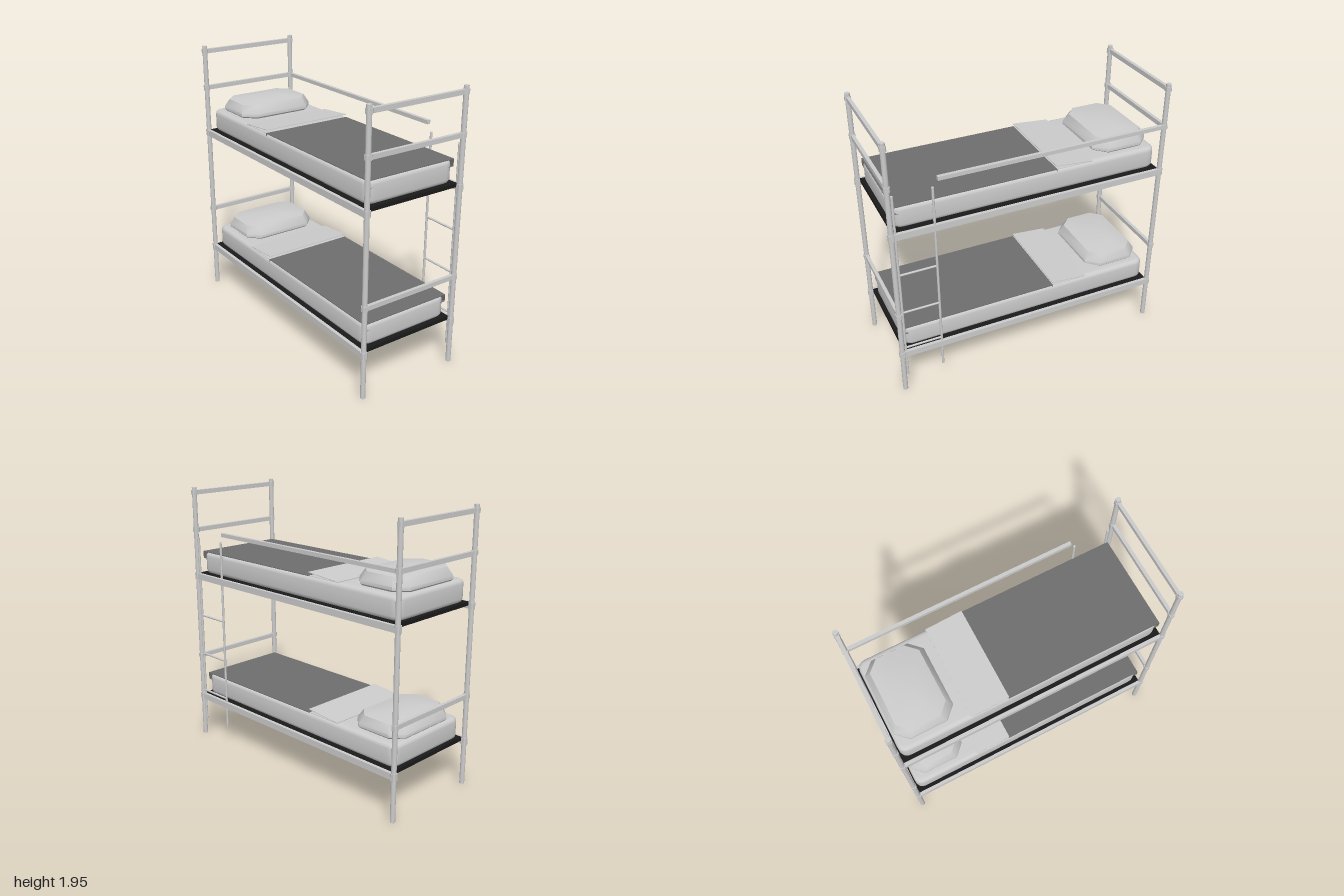
import * as THREE from 'three';
import { toCreasedNormals } from 'three/addons/utils/BufferGeometryUtils.js';

const mat = (color, side = THREE.FrontSide) =>
  new THREE.MeshStandardMaterial({ color, side });

const PX = 0.98, PZ = 0.374;          // post centres

export function createModel() {
  const root = new THREE.Group();
  root.name = 'bunkBed';
  const grey = mat(0xcccccc);
  const greyBoth = mat(0xcccccc, THREE.DoubleSide);
  const black = mat(0x1a1a1a);
  const wool = mat(0x6e6e6e, THREE.DoubleSide);
  const woolInside = mat(0x6e6e6e, THREE.BackSide);

  const add = (parent, name, geometry, material, x = 0, y = 0, z = 0) => {
    const mesh = new THREE.Mesh(geometry, material);
    mesh.name = name;
    mesh.position.set(x, y, z);
    parent.add(mesh);
    return mesh;
  };
  const box = (w, h, d) => new THREE.BoxGeometry(w, h, d);
  const rod = (r, h, n = 12) => new THREE.CylinderGeometry(r, r, h, n);

  // Posts with a collar at every joint
  for (const sx of [-1, 1]) for (const sz of [-1, 1]) {
    const post = new THREE.Group();
    post.name = 'post';
    post.position.set(sx * PX, 0, sz * PZ);
    add(post, 'postTube', rod(0.0175, 1.95, 16), grey, 0, 0.975, 0);
    for (const [y, h] of [[0.32, 0.048], [0.655, 0.036], [1.287, 0.048], [1.638, 0.034], [1.912, 0.034]])
      add(post, 'collar', toCreasedNormals(collar(0.02, h), 0.5), grey, 0, y, 0);
    root.add(post);
  }

  // Head and foot cross bars
  for (const sx of [-1, 1]) for (const y of [0.655, 1.638, 1.912])
    add(root, 'endBar', box(0.024, 0.032, 2 * PZ), grey, sx * PX, y, 0);

  // Guard rail along the back, open at the ladder
  add(root, 'guardRail', box(1.64, 0.027, 0.025), grey, -0.16, 1.638, -0.378);

  // Ladder at the back of the foot end
  const ladder = new THREE.Group();
  ladder.name = 'ladder';
  for (const x of [0.692, 0.953])
    add(ladder, 'ladderStile', rod(0.0085, 1.45), grey, x, 0.855, -PZ);
  for (const y of [0.37, 0.675, 0.983, 1.29])
    add(ladder, 'ladderRung', rod(0.0075, 0.26), grey, 0.8225, y, -PZ).rotation.z = Math.PI / 2;
  root.add(ladder);

  // Two identical bunks
  for (const y of [0.343, 1.309]) {
    const bunk = new THREE.Group();
    bunk.name = y < 1 ? 'lowerBunk' : 'upperBunk';
    bunk.position.y = y;
    for (const sz of [-1, 1])
      add(bunk, 'sideRail', box(2 * PX, 0.045, 0.025), grey, 0, -0.0225, sz * 0.377);
    add(bunk, 'deck', box(1.93, 0.026, 0.73), black, 0, -0.009, 0);
    add(bunk, 'mattress', mattressGeometry(1.9, 0.158, 0.69), grey, -0.005, 0.004, 0);
    add(bunk, 'pillow', pillowGeometry(0.21, 0.293), grey, -0.73, 0.164, 0);
    // Blanket with a short hem and a turned-back sheet
    add(bunk, 'blanket', box(1.13, 0.005, 0.685), wool, 0.379, 0.1655, 0);
    add(bunk, 'blanketHem', box(1.13, 0.05, 0.685), woolInside, 0.379, 0.14, 0);
    add(bunk, 'sheet', box(0.27, 0.003, 0.68), greyBoth, -0.317, 0.1645, 0);
    add(bunk, 'sheetFold', box(0.271, 0.004, 0.68), greyBoth, -0.317, 0.177, 0).rotation.z = 0.085;
    root.add(bunk);
  }
  return root;
}

// Square sleeve with chamfered corners
function collar(r, h) {
  const geo = new THREE.ExtrudeGeometry(chamfered(r, r, 0.008), { depth: h, bevelEnabled: false });
  return geo.rotateX(-Math.PI / 2).translate(0, -h / 2, 0);
}

// Rectangle with cut corners, half sizes a and b, cut c
function chamfered(a, b, c) {
  return new THREE.Shape([
    [a, -b + c], [a, b - c], [a - c, b], [-a + c, b],
    [-a, b - c], [-a, -b + c], [-a + c, -b], [a - c, -b],
  ].map(([x, y]) => new THREE.Vector2(x, y)));
}

// Slab with rounded corners and edges, standing on y = 0
function mattressGeometry(w, h, d) {
  const bevel = 0.03, r = 0.035;
  const a = w / 2 - bevel, b = d / 2 - bevel;
  const s = new THREE.Shape();
  s.moveTo(-a + r, -b);
  s.lineTo(a - r, -b).quadraticCurveTo(a, -b, a, -b + r);
  s.lineTo(a, b - r).quadraticCurveTo(a, b, a - r, b);
  s.lineTo(-a + r, b).quadraticCurveTo(-a, b, -a, b - r);
  s.lineTo(-a, -b + r).quadraticCurveTo(-a, -b, -a + r, -b);
  const geo = new THREE.ExtrudeGeometry(s, {
    depth: h - 2 * bevel, bevelThickness: bevel, bevelSize: bevel,
    bevelSegments: 4, curveSegments: 4,
  });
  geo.rotateX(-Math.PI / 2).translate(0, bevel, 0);
  return toCreasedNormals(geo, 0.7);
}

// Eight-sided cushion built from stacked rings closed by a shallow dome
function pillowGeometry(a, b) {
  // [inset in x, inset in z, corner cut, height]
  const rings = [
    [0.012, 0.012, 0.08, 0], [0, 0, 0.08, 0.012], [0, 0, 0.08, 0.034],
    [0.036, 0.025, 0.075, 0.092], [0.11, 0.13, 0.05, 0.108],
  ];
  const pos = [], idx = [], n = 8;
  for (const [ix, iz, c, y] of rings)
    for (const p of chamfered(a - ix, b - iz, c).getPoints().slice(0, n)) pos.push(p.x, y, -p.y);
  for (let k = 0; k < rings.length - 1; k++)
    for (let i = 0; i < n; i++) {
      const p = k * n + i, q = k * n + (i + 1) % n;
      idx.push(p, q, q + n, p, q + n, p + n);
    }
  const top = pos.length / 3, last = (rings.length - 1) * n;
  pos.push(0, 0.117, 0, 0, 0, 0);
  for (let i = 0; i < n; i++) {
    const j = (i + 1) % n;
    idx.push(last + i, last + j, top, j, i, top + 1);
  }
  const geo = new THREE.BufferGeometry();
  geo.setAttribute('position', new THREE.Float32BufferAttribute(pos, 3));
  geo.setIndex(idx);
  return toCreasedNormals(geo, 0.75);
}
